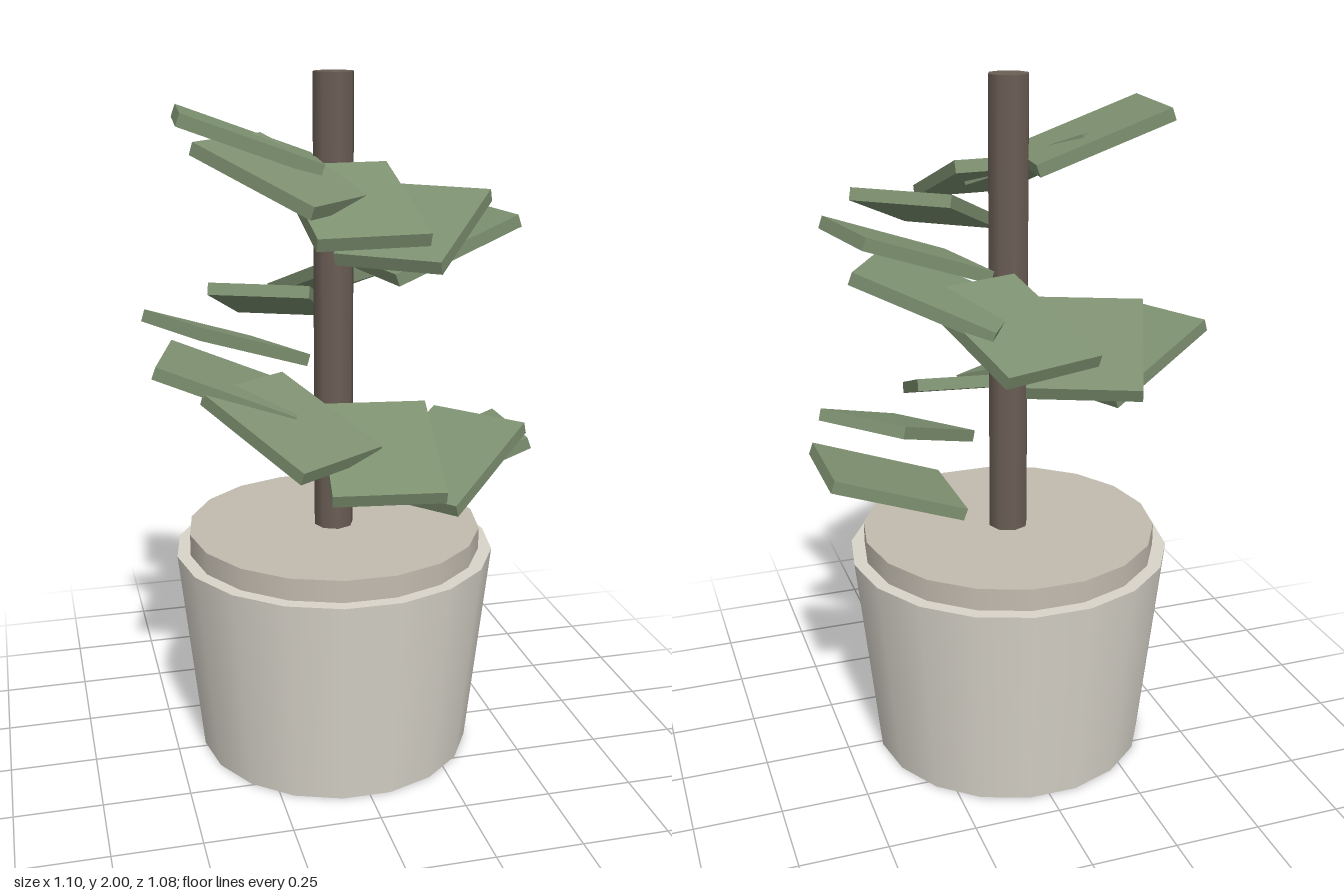
import * as THREE from 'three';

const material = (color) => new THREE.MeshStandardMaterial({ color });

export function createModel() {
  const model = new THREE.Group();
  model.name = 'pottedPlant';

  const plant = new THREE.Group();
  plant.name = 'plant';
  plant.position.set(-0.01, 0, -0.018);
  model.add(plant);

  // Upright round part spanning y0..y1
  function addRound(name, rTop, rBottom, y0, y1, sides, color) {
    const geometry = new THREE.CylinderGeometry(rTop, rBottom, y1 - y0, sides);
    geometry.rotateY(Math.PI / 2);
    const mesh = new THREE.Mesh(geometry, material(color));
    mesh.name = name;
    mesh.position.y = (y0 + y1) / 2;
    plant.add(mesh);
  }

  // Tapered pot, raised soil disc and straight stem
  addRound('pot', 0.471, 0.406, 0, 0.625, 18, 0xd8d4ca);
  addRound('soil', 0.432, 0.432, 0.56, 0.69, 18, 0xc2bbaf);
  addRound('stem', 0.058, 0.058, 0.66, 2, 8, 0x6b5e55);

  // Slab leaves climbing in a spiral that narrows upwards
  const count = 14;
  const leafGeometry = new THREE.BoxGeometry(0.4, 0.036, 0.3);
  const leafMaterial = material(0x7d9070);
  for (let i = 0; i < count; i++) {
    const angle = (i / count) * 1.6 * Math.PI * 2;
    const radius = 0.365 - 0.009 * i;
    const leaf = new THREE.Mesh(leafGeometry, leafMaterial);
    leaf.name = `leaf${i + 1}`;
    leaf.position.set(Math.cos(angle) * radius, 0.875 + 0.073 * i, Math.sin(angle) * radius);
    // The tilt is applied first, then the turn about the stem
    leaf.rotation.set(0, angle, 0.35);
    plant.add(leaf);
  }

  return model;
}
